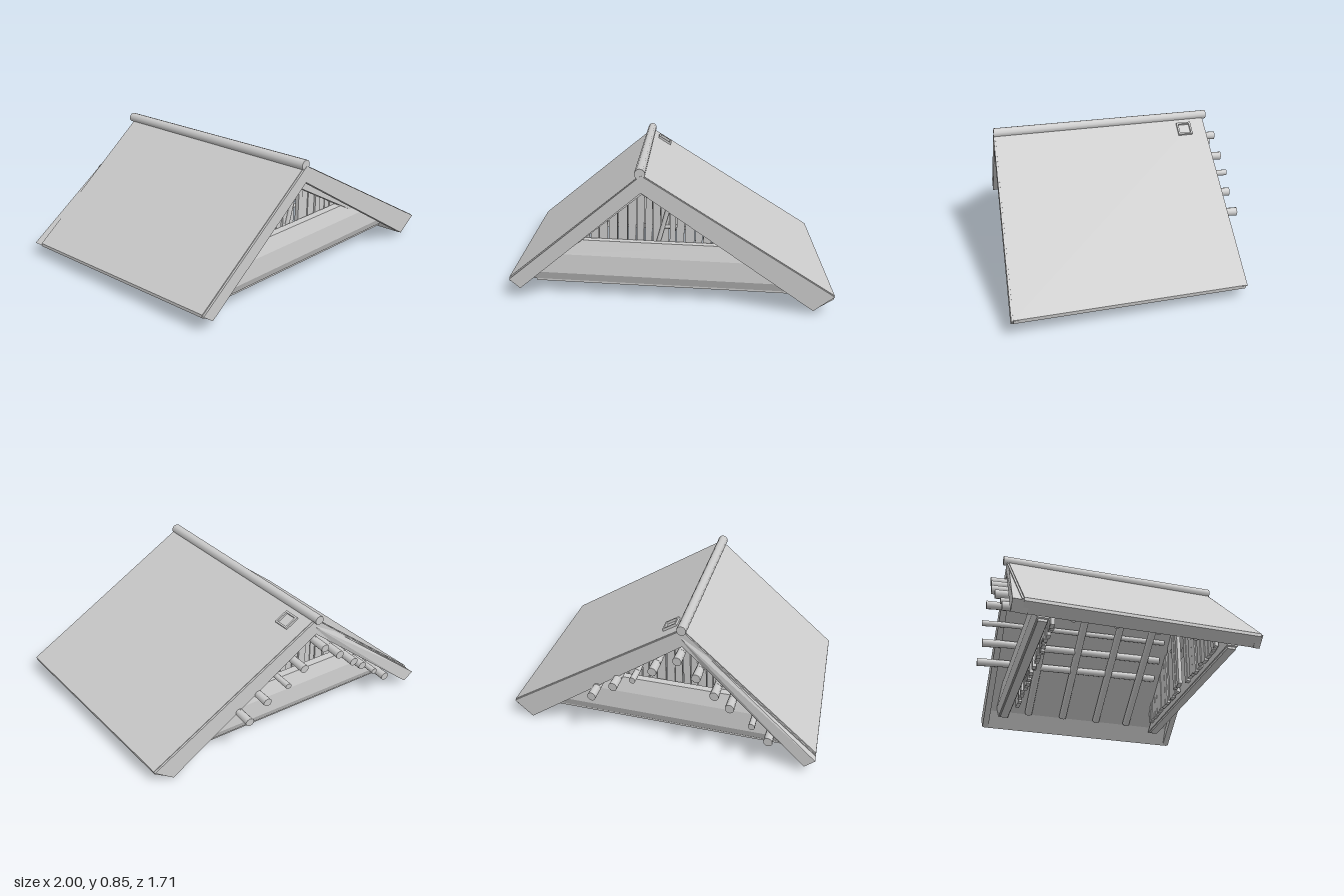
import * as THREE from 'three';
import { ConvexGeometry } from 'three/addons/geometries/ConvexGeometry.js';

const RIDGE_X = -0.17, RIDGE_Y = 0.8, LEFT = 0.84, RIGHT = 0.598;
const FRONT = 0.745, BACK = -0.69, MID = 0.025;
const material = new THREE.MeshStandardMaterial({ color: 0xcccccc });
const flat = new THREE.MeshStandardMaterial({ color: 0xcccccc, flatShading: true });

// The whole roof is built slightly skewed
const skew = new THREE.Matrix4().set(
  1, 0.02, 0.018, -0.008,
  0, 1, 0.014, 0,
  0.098, 0, 1, 0,
  0, 0, 0, 1);

// Height of the roof surface above x
const roofY = (x) => RIDGE_Y - (x < RIDGE_X ? (RIDGE_X - x) * LEFT : (x - RIDGE_X) * RIGHT);

export function createModel() {
  const group = new THREE.Group();
  let seed = 7;
  const random = () => (seed = (seed * 16807) % 2147483647) / 2147483647;

  function add(name, geometry, mat = flat) {
    geometry.applyMatrix4(skew);
    const mesh = new THREE.Mesh(geometry, mat);
    mesh.name = name;
    group.add(mesh);
  }
  // Outline in x, y stretched between two depths
  function prism(name, outline, z0, z1) {
    const shape = new THREE.Shape(outline.map(([x, y]) => new THREE.Vector2(x, y)));
    const g = new THREE.ExtrudeGeometry(shape, { depth: z1 - z0, bevelEnabled: false });
    g.translate(0, 0, z0);
    add(name, g);
  }
  // Round timber between two points
  function log(name, a, b, r0, r1 = r0) {
    const from = new THREE.Vector3(...a), to = new THREE.Vector3(...b);
    const dir = to.clone().sub(from);
    const g = new THREE.CylinderGeometry(r1, r0, dir.length(), 10);
    g.applyQuaternion(new THREE.Quaternion().setFromUnitVectors(
      new THREE.Vector3(0, 1, 0), dir.normalize()));
    g.translate(...from.add(to).multiplyScalar(0.5).toArray());
    add(name, g, material);
  }

  // Roof slopes
  prism('rightSlope', [[RIDGE_X, 0.8], [0.985, 0.11], [0.98, 0.085], [0.865, 0.008],
    [0.79, 0.115], [RIDGE_X, 0.7]], BACK, FRONT);
  prism('leftSlope', [[RIDGE_X, 0.8], [RIDGE_X, 0.7], [-0.91, 0.055],
    [-0.985, 0.095], [-0.985, 0.115]], BACK, FRONT);

  // Barge boards at both gable ends
  const bargeRight = [[RIDGE_X, 0.795], [0.985, 0.105], [0.865, 0.01], [RIDGE_X, 0.69]];
  const bargeLeft = [[RIDGE_X, 0.795], [RIDGE_X, 0.69], [-0.915, 0.05], [-0.985, 0.105]];
  for (const [z0, z1] of [[FRONT - 0.03, FRONT + 0.012], [BACK - 0.012, BACK + 0.03]]) {
    prism('rightBargeBoard', bargeRight, z0, z1);
    prism('leftBargeBoard', bargeLeft, z0, z1);
  }
  // Splayed outer board on the back left edge
  add('splayedBoard', new ConvexGeometry([
    [RIDGE_X, 0.78, -0.69], [RIDGE_X, 0.69, -0.69], [-0.985, 0.1, -0.69], [-0.92, 0.05, -0.69],
    [-0.985, 0.1, -0.755], [-0.92, 0.05, -0.755], [RIDGE_X, 0.74, -0.705],
  ].map((p) => new THREE.Vector3(...p))));

  // Ridge pole
  log('ridgePole', [-0.172, 0.803, -0.725], [-0.178, 0.803, 0.755], 0.03, 0.033);

  // Gable ends: sill, sloping panel and upright boards
  for (const side of [1, -1]) {
    const z = (d) => MID + side * d;
    const profile = [[0.08, 0.62], [0.13, 0.64], [0.25, 0.63], [0.34, 0.6], [0.34, 0.55], [0.08, 0.55]];
    const corners = profile.flatMap(([y, d]) => [
      new THREE.Vector3(Math.max(-0.85, RIDGE_X - (0.69 - y) / LEFT), y, z(d)),
      new THREE.Vector3(Math.min(0.8, RIDGE_X + (0.69 - y) / RIGHT), y, z(d))]);
    add('gablePanel', new ConvexGeometry(corners));
    const sill = new THREE.BoxGeometry(1.6, 0.03, 0.055);
    sill.translate(-0.03, 0.08, z(0.585));
    add('sill', sill);

    for (let x = -0.74; x < 0.64;) {
      const w = 0.04 + random() * 0.025, x1 = x + w - 0.006;
      // Boards beside the loose stick sit further in
      const recess = side > 0 && x1 > -0.12 && x < 0.0 ? 0.035 : 0;
      const bottom = 0.1 + random() * 0.02;
      const near = z(0.51 + random() * 0.015 - recess);
      prism('gableBoard', [[x, bottom], [x1, bottom], [x1, roofY(x1) - 0.09], [x, roofY(x) - 0.09]],
        near, near + 0.025);
      x += w;
    }
  }
  // Loose leaning stick and short rail at the front
  log('leaningStick', [-0.07, 0.32, 0.545], [-0.01, 0.55, 0.545], 0.014);
  log('shortRail', [-0.05, 0.42, 0.535], [0.06, 0.43, 0.535], 0.012);

  // Rafter pair lining the front opening
  prism('frontRafterRight', [[RIDGE_X, 0.71], [0.8, 0.13], [0.73, 0.115], [RIDGE_X, 0.65]], 0.585, 0.64);
  prism('frontRafterLeft', [[RIDGE_X, 0.71], [RIDGE_X, 0.65], [-0.81, 0.115], [-0.86, 0.13]], 0.585, 0.64);

  // Purlins tucked under the roof and poking out of the back
  const purlins = [[-0.71, 0.78], [-0.61, 0.78], [-0.48, 0.8], [-0.39, 0.815], [-0.28, 0.805],
    [-0.165, 0.8], [-0.01, 0.805], [0.115, 0.815], [0.25, 0.795], [0.39, 0.81]];
  purlins.forEach(([x, reach], i) => {
    const r = i === 1 || i === 7 ? 0.02 : 0.028;
    const y = roofY(x) - 0.15;
    log('purlin', [x, y + 0.035, 0.5], [x, y, -reach + 0.1], r * 0.9);
    log('purlinEnd', [x, y, -reach + 0.14], [x + 0.006, y - 0.006, -reach], r * 0.9, r);
  });

  // Rafters carrying the purlins under both slopes
  for (const z of [-0.38, -0.12, 0.14, 0.38]) {
    for (const x of [-0.83, 0.76])
      log('rafter', [RIDGE_X, RIDGE_Y - 0.16, z], [x, roofY(x) - 0.13, z], 0.027);
  }

  // Small hatch frame near the ridge
  const square = (s) => [[-s, -s], [s, -s], [s, s], [-s, s]].map((p) => new THREE.Vector2(...p));
  const frame = new THREE.Shape(square(0.05));
  frame.holes.push(new THREE.Path(square(0.038)));
  const hatch = new THREE.ExtrudeGeometry(frame, { depth: 0.03, bevelEnabled: false });
  hatch.rotateX(-Math.PI / 2).rotateZ(-Math.atan(RIGHT));
  hatch.translate(-0.083, roofY(-0.083) - 0.018, -0.55);
  add('hatchFrame', hatch);

  return group;
}
